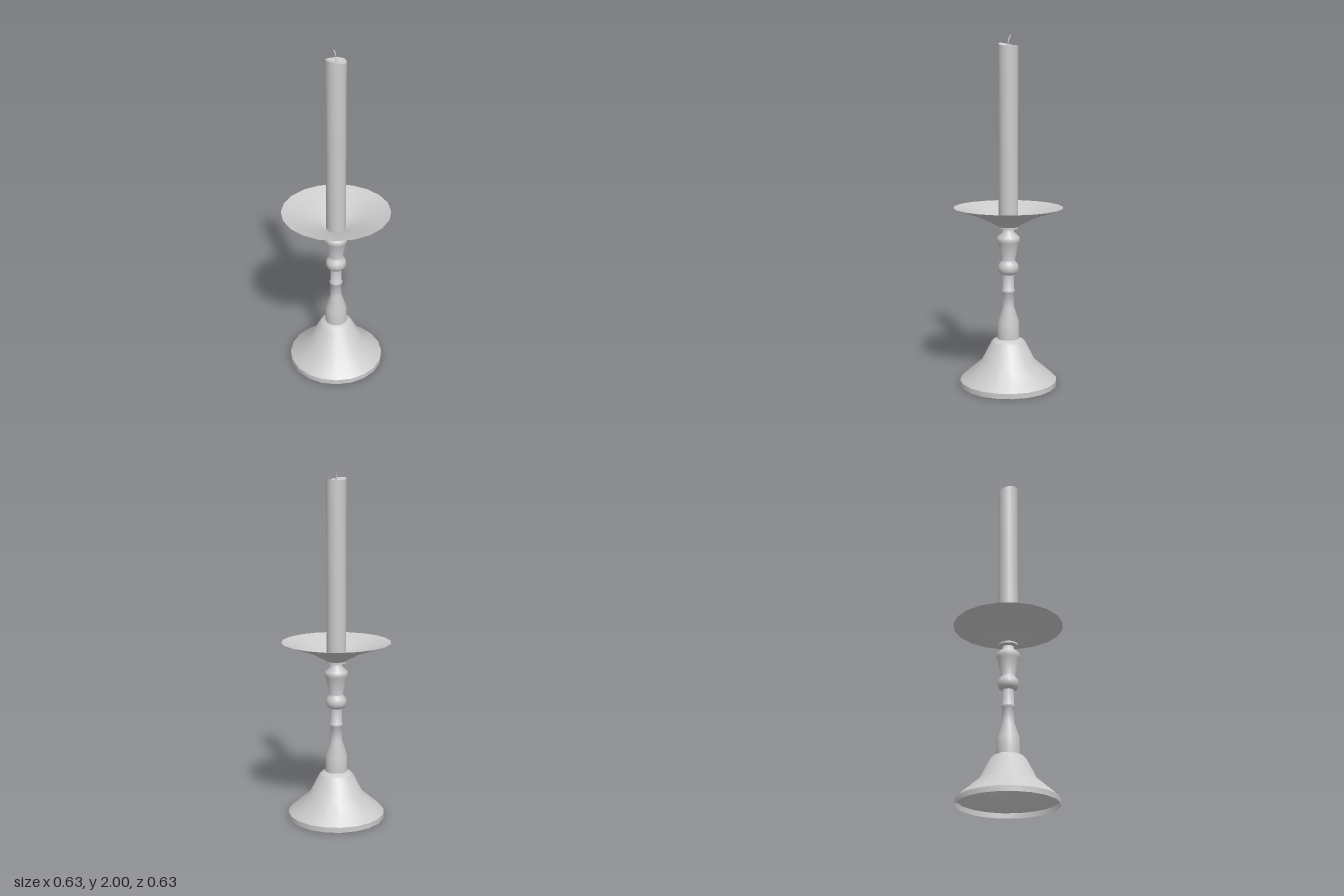
import * as THREE from 'three';
import { toCreasedNormals } from 'three/addons/utils/BufferGeometryUtils.js';

const SIDES = 20;
const material = new THREE.MeshStandardMaterial({ color: 0xcccccc, side: THREE.DoubleSide });

function lathe(profile) {
  return new THREE.LatheGeometry(profile.map(([r, y]) => new THREE.Vector2(r, y)), SIDES);
}

function part(name, geometry, crease = 0.7) {
  const mesh = new THREE.Mesh(toCreasedNormals(geometry, crease), material);
  mesh.name = name;
  return mesh;
}

// Candle with an uneven, slightly hollowed top
function candleGeometry() {
  const geometry = lathe([
    [0, 0.915], [0.056, 0.915], [0.056, 1.947], [0.046, 1.944], [0.022, 1.939], [0, 1.938],
  ]);
  const p = geometry.attributes.position;
  for (let i = 0; i < p.count; i++) {
    if (p.getY(i) < 1.9) continue;
    const x = p.getX(i), z = p.getZ(i);
    const r = Math.hypot(x, z), a = Math.atan2(z, x);
    const wave = -0.007 * Math.cos(a) + 0.004 * Math.cos(2 * a + 0.4);
    p.setY(i, p.getY(i) + wave * r / 0.056);
  }
  return geometry;
}

export function createModel() {
  const model = new THREE.Group();
  model.name = 'candlestick';

  // Hollow bell-shaped foot
  model.add(part('foot', lathe([
    [0.28, 0], [0.28, 0.03], [0.268, 0.042], [0.155, 0.14], [0.098, 0.252], [0.088, 0.262], [0.063, 0.274],
  ])));

  // Turned stem with ring, knob and flared socket
  model.add(part('stem', lathe([
    [0.063, 0.274], [0.063, 0.37], [0.034, 0.46], [0.033, 0.54], [0.038, 0.546],
    [0.038, 0.558], [0.033, 0.564], [0.033, 0.648], [0.05, 0.657], [0.059, 0.675],
    [0.059, 0.695], [0.052, 0.712], [0.038, 0.73], [0.062, 0.835], [0.068, 0.85],
    [0.064, 0.866], [0.034, 0.895], [0.032, 0.912],
  ]), 0.9));

  // Thin drip dish
  model.add(part('dripDish', lathe([
    [0, 0.907], [0.032, 0.91], [0.075, 0.938], [0.148, 0.977], [0.313, 1.036],
  ])));

  model.add(part('candle', candleGeometry()));

  // Wick curling toward the back
  const wickPath = new THREE.CatmullRomCurve3([
    new THREE.Vector3(0, 1.935, 0), new THREE.Vector3(0, 1.965, 0),
    new THREE.Vector3(0, 1.983, -0.007), new THREE.Vector3(0, 1.999, -0.018),
  ]);
  model.add(part('wick', new THREE.TubeGeometry(wickPath, 8, 0.003, 6), 1.2));

  return model;
}
